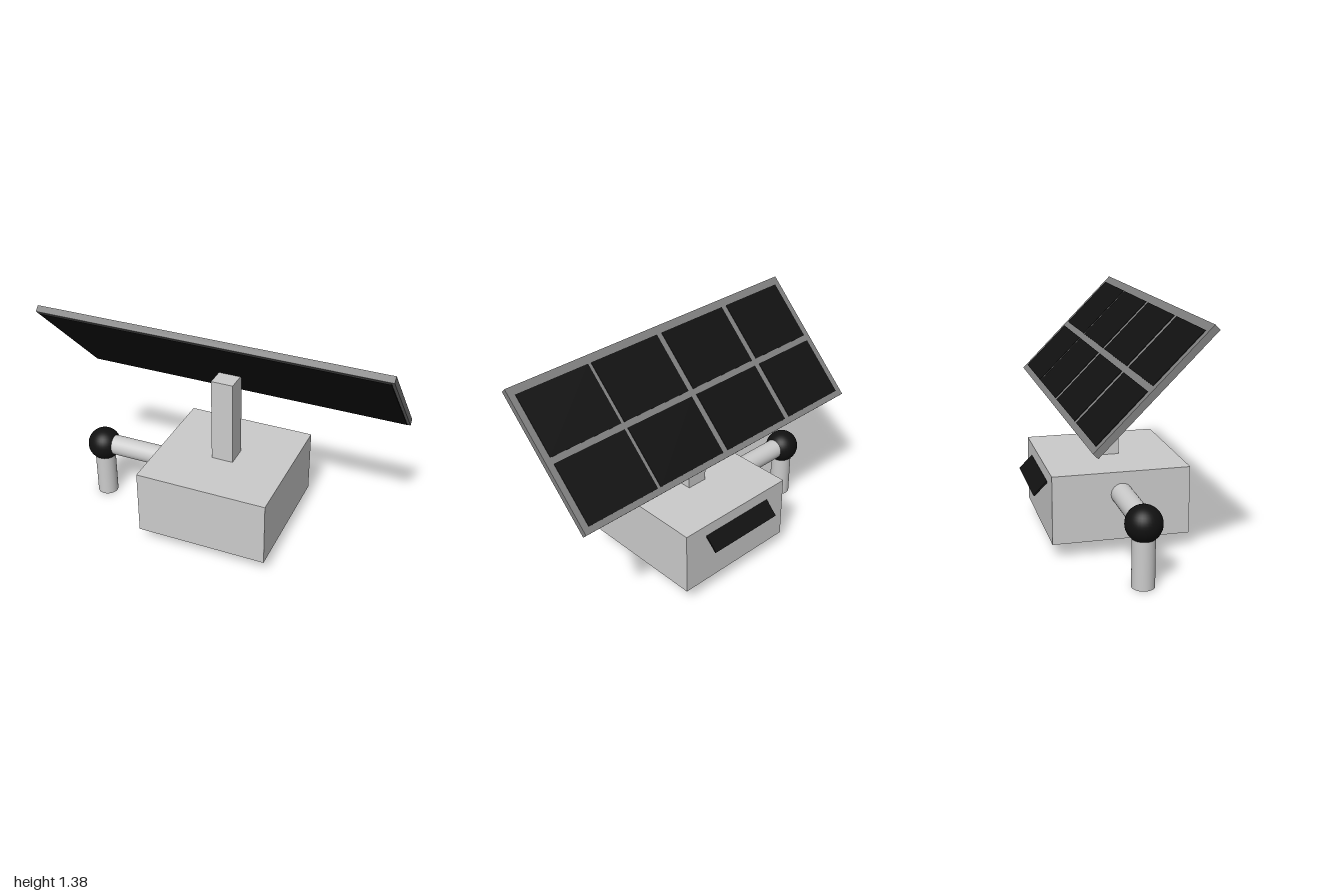
import * as THREE from 'three';

const grey = new THREE.MeshStandardMaterial({ color: 0xcccccc });
const frameGrey = new THREE.MeshStandardMaterial({ color: 0x808080 });
const black = new THREE.MeshStandardMaterial({ color: 0x111111 });

function add(parent, name, geometry, material, x, y, z) {
  const mesh = new THREE.Mesh(geometry, material);
  mesh.name = name;
  mesh.position.set(x, y, z);
  parent.add(mesh);
  return mesh;
}
const box = (w, h, d) => new THREE.BoxGeometry(w, h, d);

export function createModel() {
  const model = new THREE.Group();
  model.name = 'solarStation';
  const midZ = 0.04;

  // Housing and the post that carries the panel
  add(model, 'housing', box(0.78, 0.39, 0.78), grey, 0, 0.285, midZ);
  add(model, 'post', box(0.13, 0.51, 0.13), grey, 0, 0.735, midZ);

  // Side pipe, ball joint and downspout
  add(model, 'sidePipe', new THREE.CylinderGeometry(0.061, 0.061, 0.44, 32), grey, -0.6, 0.353, midZ)
    .rotation.z = Math.PI / 2;
  add(model, 'ballJoint', new THREE.SphereGeometry(0.1, 32, 20), black, -0.82, 0.346, midZ);
  add(model, 'downspout', new THREE.CylinderGeometry(0.062, 0.062, 0.3, 32), grey, -0.82, 0.15, midZ);

  // Small sloping flap on the back
  add(model, 'backFlap', box(0.49, 0.01, 0.108), black, -0.005, 0.37, -0.387)
    .rotation.x = -Math.PI / 4;

  // Tilted panel: frame, dark backing and eight cells
  const panel = new THREE.Group();
  panel.name = 'solarPanel';
  panel.position.set(0, 1.0675, 0.0375);
  panel.rotation.set(-Math.PI / 4, 0.005, 0);
  model.add(panel);
  add(panel, 'panelFrame', box(1.994, 0.037, 0.832), frameGrey, 0, 0, 0);
  add(panel, 'panelBacking', box(1.96, 0.008, 0.8), black, 0, -0.0195, 0);
  const columns = [[-0.96, -0.515], [-0.495, -0.02], [0.015, 0.48], [0.5, 0.96]];
  const rows = [[-0.382, -0.025], [0.01, 0.37]];
  columns[0][1] = -0.53;
  for (const [x0, x1] of columns) {
    for (const [z0, z1] of rows) {
      add(panel, 'solarCell', box(x1 - x0, 0.008, z1 - z0), black, (x0 + x1) / 2, 0.0175, (z0 + z1) / 2);
    }
  }
  return model;
}
